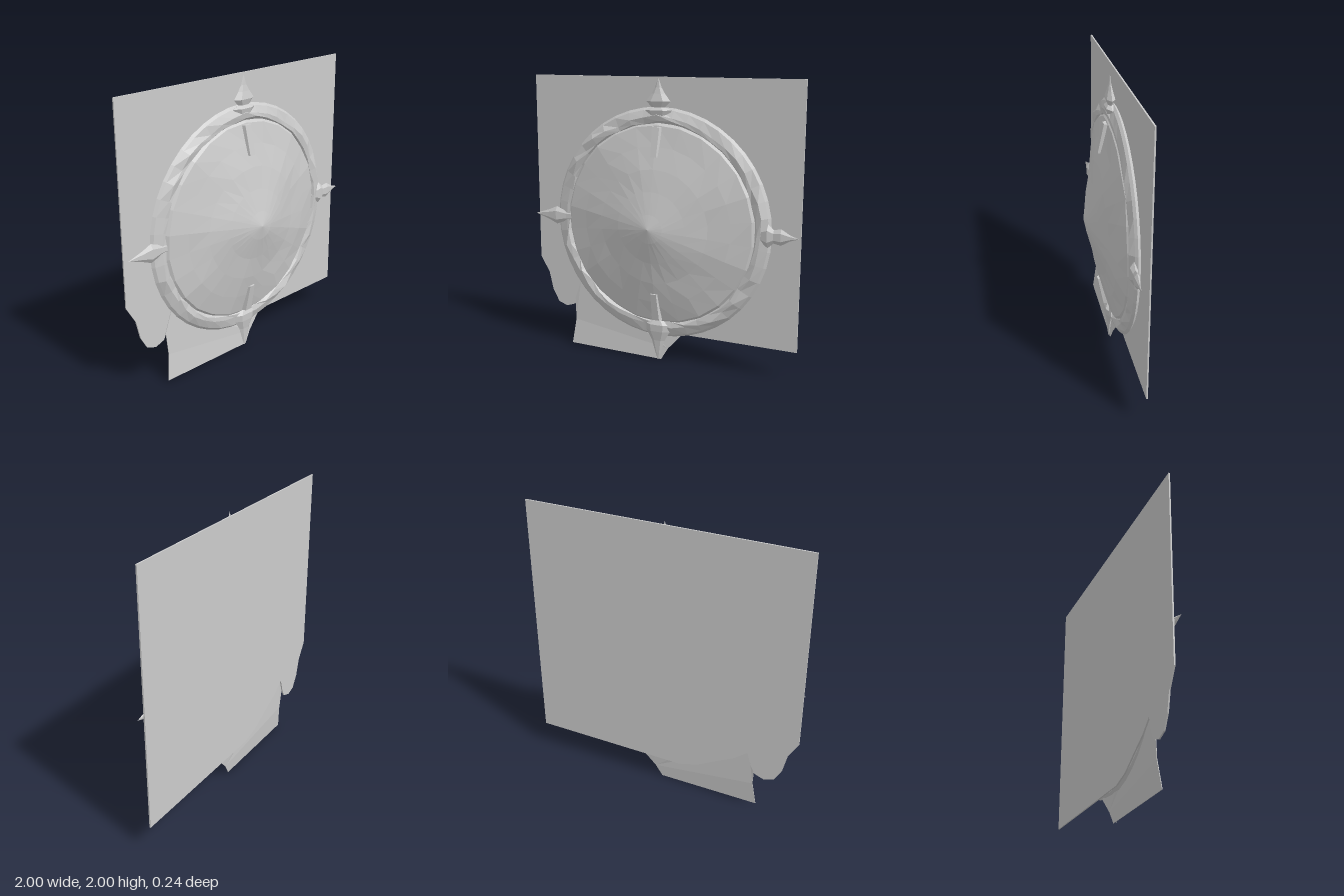
import * as THREE from 'three';

const CY = 0.99; // height of the disc centre

export function createModel() {
  const model = new THREE.Group();
  const mat = new THREE.MeshStandardMaterial({ color: 0xcccccc, flatShading: true, side: THREE.DoubleSide });

  const add = (name, geometry) => {
    const mesh = new THREE.Mesh(geometry, mat);
    mesh.name = name;
    model.add(mesh);
    return mesh;
  };
  const vecs = (pts) => pts.map(([x, y]) => new THREE.Vector2(x, y));

  // Move every vertex by a rule
  const warp = (geometry, rule) => {
    const p = geometry.attributes.position;
    const v = new THREE.Vector3();
    for (let i = 0; i < p.count; i++) {
      v.fromBufferAttribute(p, i);
      rule(v);
      p.setXYZ(i, v.x, v.y, v.z);
    }
    geometry.computeVertexNormals();
    return geometry;
  };

  // Lathe turned so its axis points to the front
  const disc = (profile, sides) =>
    new THREE.LatheGeometry(vecs(profile), sides).rotateX(Math.PI / 2).translate(0, CY, 0);

  // Back plate with a rounded lobe and a cut at the lower right corner
  const plate = new THREE.Shape(vecs([
    [1, 0.2], [1, 2], [-1, 2], [-1, 0.65], [-0.93, 0.53], [-0.9, 0.4], [-0.85, 0.31], [-0.78, 0.285],
    [-0.71, 0.31], [-0.68, 0.37], [-0.65, 0.47], [-0.55, 0.39], [-0.42, 0.32], [-0.28, 0.24], [-0.14, 0.2],
  ]));
  add('backPlate', new THREE.ExtrudeGeometry(plate, { depth: 0.01, bevelEnabled: false })).position.z = -0.12;

  // Thin flap hanging below the ring, leaning forward at its foot
  const flap = new THREE.Shape(vecs([
    [0.02, 0.005], [0.07, 0.09], [0.17, 0.2], [0.1, 0.26], [-0.2, 0.31], [-0.45, 0.44], [-0.62, 0.57],
    [-0.65, 0.5], [-0.7, 0.36], [-0.69, 0.2], [-0.715, 0.015],
  ]));
  add('lowerFlap', warp(new THREE.ExtrudeGeometry(flap, { depth: 0.004, bevelEnabled: false }), (v) => {
    v.z += -0.073 - 0.03 * Math.min(1, v.y / 0.3);
  }));

  // Shallow, slightly uneven cone
  const cone = [[0.715, -0.07], [0.69, -0.045], [0.55, -0.012], [0.4, 0.022], [0.25, 0.058], [0.1, 0.095], [0, 0.118]];
  add('domedDisc', warp(disc(cone, 26), (v) => {
    const r = Math.hypot(v.x, v.y - CY);
    if (r > 0.05) v.z += 0.007 * Math.sin(9 * v.x + 4 * v.y) * Math.cos(11 * v.y - 5 * v.x);
  }));

  // Rim with a chipped, faceted crest
  const rim = [[0.7, -0.1], [0.79, -0.105], [0.812, -0.085], [0.795, -0.068], [0.745, -0.045], [0.71, -0.05], [0.695, -0.07], [0.7, -0.1]];
  add('rim', warp(disc(rim, 44), (v) => {
    const r = Math.hypot(v.x, v.y - CY);
    const chip = Math.sin(37 * v.x + 23 * v.y) * Math.cos(29 * v.y - 17 * v.x);
    if (r < 0.78 && v.z > -0.06) {
      v.z += 0.012 * chip;
      const k = 1 + 0.025 * chip;
      v.x *= k;
      v.y = CY + (v.y - CY) * k;
    }
  }));

  // Pointed ornaments around the rim: [half width, distance from centre]
  const spikes = {
    topFinial: [0, [[0, 0.69], [0.07, 0.75], [0.1, 0.79], [0.05, 0.81], [0.09, 0.85], [0.05, 0.9], [0.025, 0.94], [0, 1.01]]],
    leftSpike: [-Math.PI / 2, [[0, 0.69], [0.04, 0.73], [0.08, 0.79], [0.045, 0.83], [0.055, 0.88], [0.02, 0.94], [0, 1]]],
    bottomSpike: [Math.PI, [[0, 0.66], [0.1, 0.72], [0.09, 0.77], [0.05, 0.84], [0.02, 0.94], [0, 0.99]]],
    rightSpike: [Math.PI / 2, [[0, 0.62], [0.03, 0.67], [0.035, 0.74], [0.065, 0.82], [0.035, 0.89], [0, 1]]],
  };
  for (const [name, [angle, profile]] of Object.entries(spikes)) {
    const g = new THREE.LatheGeometry(vecs(profile), 6, Math.PI / 6);
    warp(g, (v) => { v.z *= 0.36; });
    const mesh = add(name, g);
    mesh.position.set(0, CY, -0.062);
    mesh.rotation.z = angle;
  }

  // Tapered pointers resting on the cone above and below its centre
  for (const [name, angle] of [['upperPointer', 0], ['lowerPointer', Math.PI]]) {
    const g = warp(new THREE.BoxGeometry(0.07, 0.2, 0.05), (v) => {
      if (v.z > 0) v.x *= 0.6;
      if (v.y > 0) v.x *= 1.3;
      v.z -= 0.2 * v.y;
      v.y += 0.58;
    });
    const mesh = add(name, g);
    mesh.position.set(0, CY, -0.024);
    mesh.rotation.z = angle;
  }

  return model;
}
